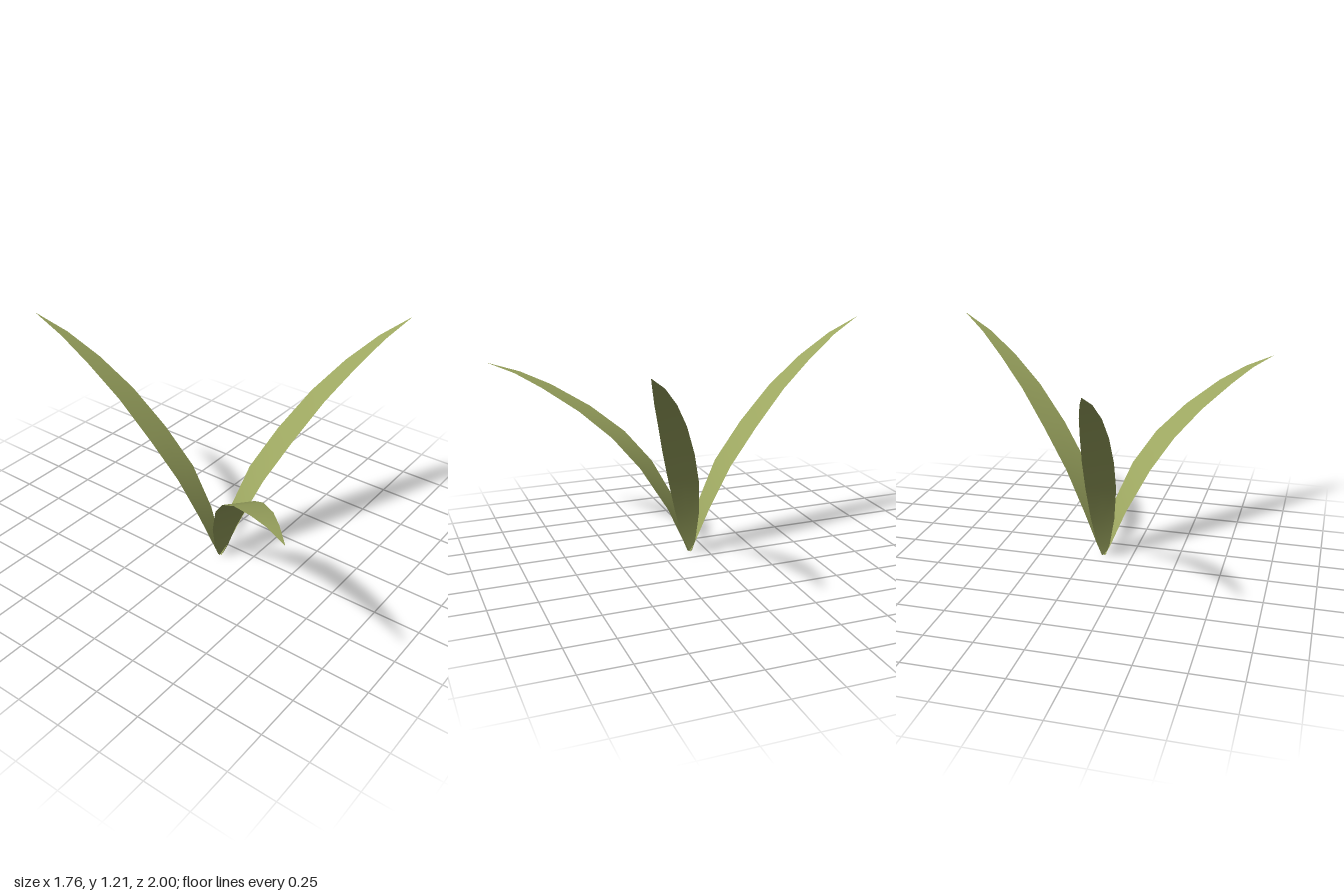
import * as THREE from 'three';

const leafGreen = new THREE.MeshStandardMaterial({ color: 0x9ca660, side: THREE.DoubleSide });
leafGreen.name = 'leafGreen';

// Half width of a blade from root to tip
const halfWidths = [0.012, 0.034, 0.063, 0.08, 0.08, 0.069, 0.052, 0.028, 0.001];

// Arching midribs as [distance outward, height]
const uprightRib = [[0, 0], [0.02, 0.07], [0.09, 0.25], [0.21, 0.47], [0.375, 0.67],
  [0.56, 0.86], [0.75, 1.01], [0.93, 1.125], [1.105, 1.205]];
const droopingRib = [[0, 0], [0.025, 0.07], [0.1, 0.25], [0.25, 0.47], [0.41, 0.625],
  [0.61, 0.755], [0.84, 0.865], [1.02, 0.93], [1.205, 0.97]];

// A thin blade, bent along its midrib and heading from the root towards (tipX, tipZ)
function makeBlade(name, rib, tipX, tipZ) {
  const root = new THREE.Vector3(-0.093, 0, 0.09);
  const out = new THREE.Vector3(tipX - root.x, 0, tipZ - root.z).normalize();
  const side = new THREE.Vector3(-out.z, 0, out.x);
  const geometry = new THREE.PlaneGeometry(2, 1, 2, rib.length - 1);
  const position = geometry.attributes.position;
  const p = new THREE.Vector3();
  for (let i = 0; i < position.count; i++) {
    const row = Math.floor(i / 3);
    const across = position.getX(i);
    p.copy(root)
      .addScaledVector(out, rib[row][0])
      .addScaledVector(side, across * halfWidths[row]);
    position.setXYZ(i, p.x, rib[row][1], p.z);
  }
  geometry.computeVertexNormals();
  const blade = new THREE.Mesh(geometry, leafGreen);
  blade.name = name;
  return blade;
}

export function createModel() {
  const plant = new THREE.Group();
  plant.name = 'grassTuft';
  plant.add(
    makeBlade('leftBlade', uprightRib, 0.88, 0.61),
    makeBlade('backBlade', uprightRib, -0.27, -1),
    makeBlade('rightFrontBlade', droopingRib, -0.88, 1),
  );
  return plant;
}
